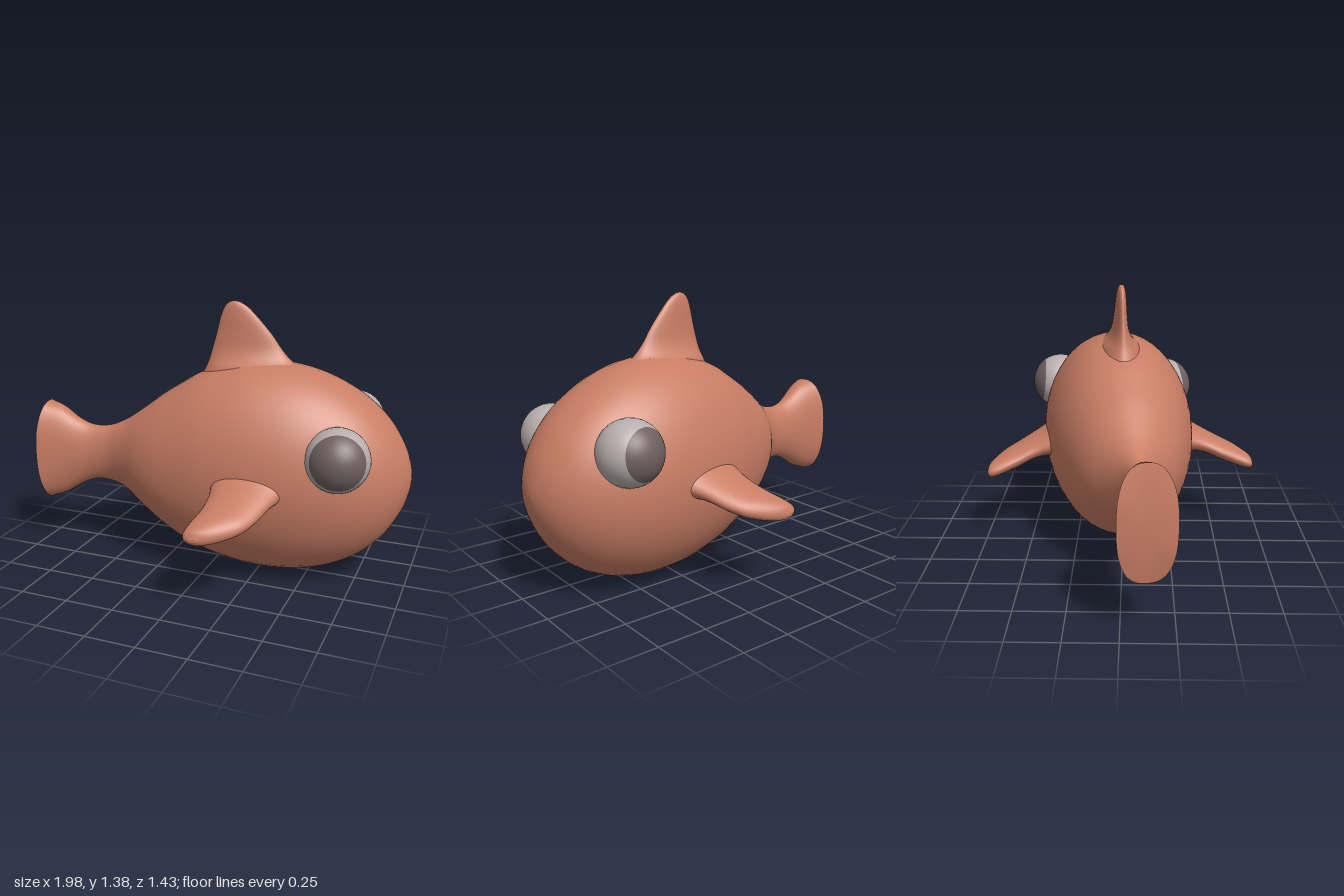
import * as THREE from 'three';

const mat = (name, color) => Object.assign(new THREE.MeshStandardMaterial({ color }), { name });

// Skin a list of closed rings; both ends get a fan with its own hard rim.
function loft(rings, ends = []) {
  const n = rings[0].length, pos = [], idx = [];
  const add = p => pos.push(p.x, p.y, p.z) / 3 - 1;
  rings.forEach(r => r.forEach(add));
  for (let i = 0; i < rings.length - 1; i++) {
    for (let j = 0; j < n; j++) {
      const k = (j + 1) % n, a = i * n, b = a + n;
      idx.push(a + j, b + j, a + k, b + j, b + k, a + k);
    }
  }
  [rings[0], rings[rings.length - 1]].forEach((ring, e) => {
    const centre = ends[e] || ring.reduce((s, p) => s.add(p), new THREE.Vector3()).divideScalar(n);
    const c = add(centre);
    const rim = ring.map(add);
    rim.forEach((v, j) => {
      const w = rim[(j + 1) % n];
      idx.push(c, e ? w : v, e ? v : w);
    });
  });
  const g = new THREE.BufferGeometry();
  g.setAttribute('position', new THREE.Float32BufferAttribute(pos, 3));
  g.setIndex(idx);
  g.computeVertexNormals();
  return g;
}

const circle = (n, f) => Array.from({ length: n }, (_, j) => f(j / n * Math.PI * 2));

// Smooth in-between stations through rows of [position, a, b, c]
function stations(rows, count) {
  const c1 = new THREE.CatmullRomCurve3(rows.map(r => new THREE.Vector3(r[0], r[1], r[2])), false, 'catmullrom');
  const c2 = new THREE.CatmullRomCurve3(rows.map(r => new THREE.Vector3(r[3], r[4] || 0, 0)), false, 'catmullrom');
  return Array.from({ length: count + 1 }, (_, i) => {
    const p = c1.getPoint(i / count), q = c2.getPoint(i / count);
    return [p.x, p.y, p.z, q.x, q.y];
  });
}

export function createModel() {
  const skin = mat('skin', 0xc87d64);
  const eyeWhite = mat('eyeWhite', 0xb9aeae);
  const pupilDark = mat('pupil', 0x6f6062);

  const fish = new THREE.Group();
  fish.name = 'fish';
  const part = (name, geometry, material) => {
    const m = new THREE.Mesh(geometry, material);
    m.name = name;
    fish.add(m);
    return m;
  };

  // Body and flared tail: x, top, bottom, half width
  const bodyRows = [
    [-0.955, 0.81, 0.26, 0.132], [-0.87, 0.78, 0.29, 0.105], [-0.79, 0.725, 0.34, 0.086],
    [-0.70, 0.69, 0.38, 0.072], [-0.60, 0.695, 0.38, 0.085], [-0.50, 0.74, 0.345, 0.14],
    [-0.40, 0.81, 0.27, 0.215], [-0.30, 0.885, 0.195, 0.27], [-0.20, 0.95, 0.13, 0.31],
    [-0.10, 1.01, 0.08, 0.343], [0, 1.05, 0.045, 0.37], [0.15, 1.085, 0.012, 0.395],
    [0.30, 1.09, 0, 0.405], [0.45, 1.07, 0.01, 0.4], [0.60, 1.02, 0.045, 0.375],
    [0.75, 0.935, 0.12, 0.325], [0.87, 0.825, 0.23, 0.243], [0.95, 0.70, 0.36, 0.145],
    [0.985, 0.60, 0.465, 0.06], [0.994, 0.535, 0.53, 0.003],
  ];
  const bodyRings = stations(bodyRows, 76).map(([x, top, bottom, w]) => {
    const tail = THREE.MathUtils.clamp((-0.75 - x) / 0.2, 0, 1);
    const power = 1 - 0.2 * tail; // boxier section towards the tail rim
    const bend = v => Math.sign(v) * Math.abs(v) ** power;
    return circle(48, a => new THREE.Vector3(
      x - 0.032 * tail * Math.cos(a) ** 2,
      (top + bottom) / 2 + bend(Math.sin(a)) * (top - bottom) / 2,
      bend(Math.cos(a)) * w));
  });
  part('body', loft(bodyRings, [new THREE.Vector3(-1, 0.535, 0)]), skin);

  // Dorsal fin: height, back x, front x, half thickness
  const dorsalRows = [
    [1.0, -0.09, 0.5, 0.13], [1.06, -0.06, 0.42, 0.10], [1.1, -0.045, 0.37, 0.065],
    [1.15, -0.03, 0.325, 0.043], [1.22, -0.01, 0.275, 0.033], [1.3, 0.01, 0.205, 0.027],
    [1.35, 0.03, 0.155, 0.021], [1.375, 0.055, 0.115, 0.013], [1.382, 0.075, 0.09, 0.004],
  ];
  part('dorsalFin', loft(stations(dorsalRows, 32).map(([y, back, front, t]) =>
    circle(28, a => new THREE.Vector3(
      (back + front) / 2 - Math.sin(a) * (front - back) / 2, y, Math.cos(a) * t)))), skin);

  // Side fins: distance out, back x, front x, half thickness, height
  const finRows = [
    [0.30, 0.04, 0.47, 0.12, 0.55], [0.40, 0.06, 0.40, 0.075, 0.52], [0.47, 0.063, 0.36, 0.06, 0.495],
    [0.55, 0.045, 0.32, 0.056, 0.46], [0.62, 0.022, 0.27, 0.052, 0.435], [0.67, 0.01, 0.2, 0.045, 0.418],
    [0.705, 0.015, 0.13, 0.033, 0.408], [0.72, 0.045, 0.08, 0.008, 0.402],
  ];
  for (const side of [1, -1]) {
    const rings = stations(finRows, 28).map(([z, back, front, t, y]) =>
      circle(28, a => new THREE.Vector3(
        (back + front) / 2 + Math.cos(a) * (front - back) / 2, y - Math.sin(a) * t, side * z)));
    if (side < 0) rings.reverse();
    part(side > 0 ? 'frontSideFin' : 'rearSideFin', loft(rings), skin);
  }

  // Eyes: a ball split into a dark cap facing outwards and the white remainder
  const eyes = [
    ['frontEye', [0.652, 0.70, 0.315], [0.1, 0.15, 0.97], 0.98],
    ['rearEye', [0.676, 0.735, -0.306], [-0.06, 0.1, -0.98], 0.88],
  ];
  for (const [name, centre, look, angle] of eyes) {
    const up = new THREE.Vector3(0, 1, 0);
    const turn = new THREE.Quaternion().setFromUnitVectors(up, new THREE.Vector3(...look).normalize());
    const cap = new THREE.SphereGeometry(0.156, 32, 12, 0, Math.PI * 2, 0, angle);
    const rest = new THREE.SphereGeometry(0.156, 32, 16, 0, Math.PI * 2, angle, Math.PI - angle);
    for (const m of [part(name + 'Pupil', cap, pupilDark), part(name + 'White', rest, eyeWhite)]) {
      m.position.set(...centre);
      m.quaternion.copy(turn);
    }
  }

  // The fish swims slightly away from the front
  fish.rotation.y = 0.12;
  const model = new THREE.Group();
  model.name = 'model';
  model.add(fish);
  return model;
}
